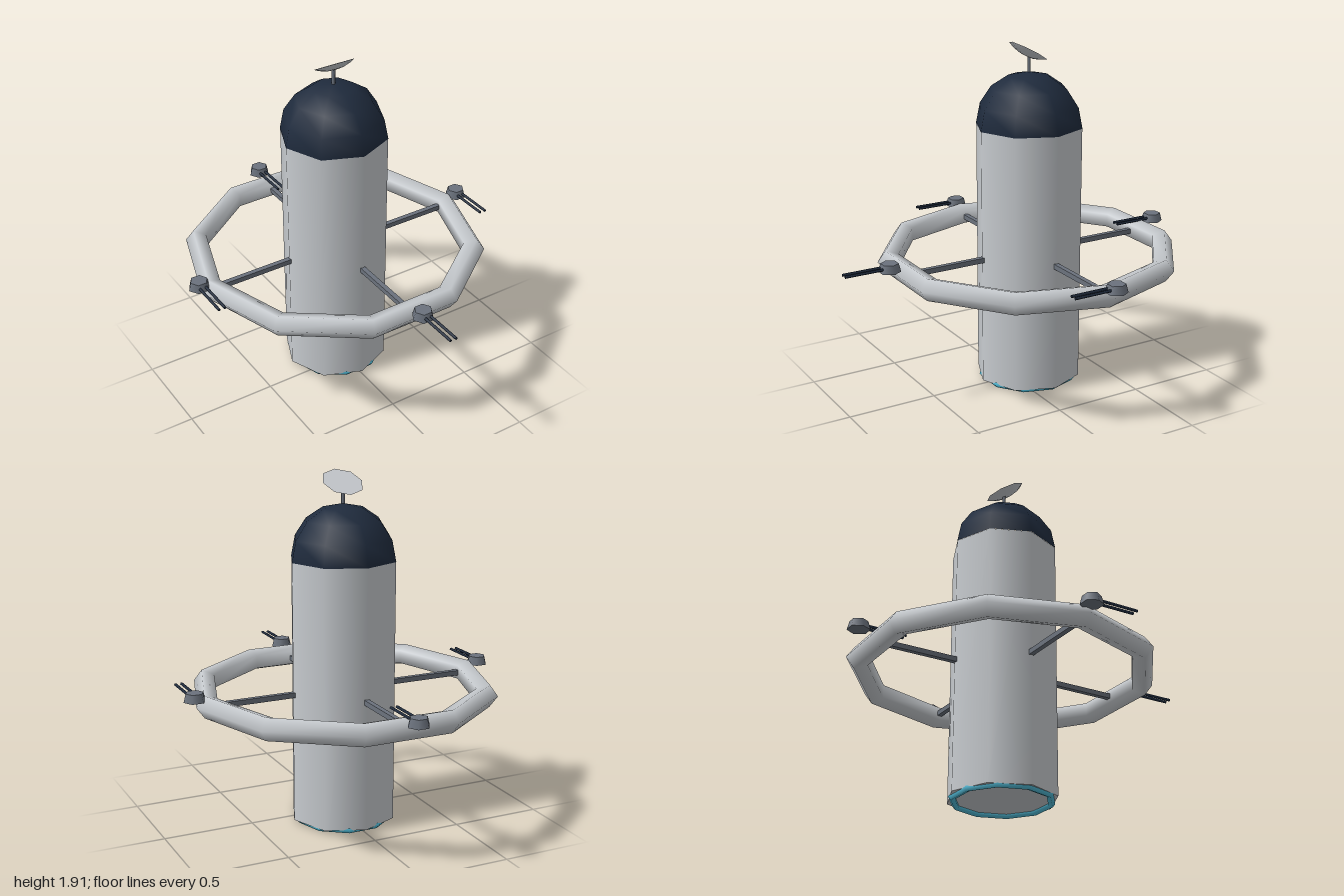
import * as THREE from 'three';

const material = (name, color) => {
  const m = new THREE.MeshStandardMaterial({ color });
  m.name = name;
  return m;
};

export function createModel() {
  const hull = material('hull grey', 0xc8ccd0);
  const navy = material('dark navy', 0x1f2b3d);
  const steel = material('steel grey', 0x6b727d);
  const glow = material('engine cyan', 0x4fb8d4);

  const station = new THREE.Group();
  station.name = 'station';
  station.position.z = -0.103; // the long barrels shift the axis back

  const add = (parent, name, geometry, mat, x = 0, y = 0, z = 0) => {
    const mesh = new THREE.Mesh(geometry, mat);
    mesh.name = name;
    mesh.position.set(x, y, z);
    parent.add(mesh);
    return mesh;
  };

  // Octagonal tower with a domed roof
  add(station, 'tower', new THREE.CylinderGeometry(0.293, 0.293, 1.43, 8), hull, 0, 0.735, 0);
  add(station, 'dome',
    new THREE.SphereGeometry(0.294, 8, 4, 0, Math.PI * 2, 0, Math.PI / 2), navy, 0, 1.45, 0);

  // Glowing ring under the tower, and the wide ring around it
  add(station, 'engineRing', new THREE.TorusGeometry(0.26, 0.02, 5, 10).rotateX(Math.PI / 2), glow, 0, 0.02, 0);
  add(station, 'outerRing', new THREE.TorusGeometry(0.773, 0.064, 5, 10).rotateX(Math.PI / 2), hull, 0, 0.736, 0);

  // Four spokes, each with a twin-barrel turret beyond its end; all barrels face forward
  const spokeGeometry = new THREE.BoxGeometry(0.48, 0.028, 0.028);
  const baseGeometry = new THREE.CylinderGeometry(0.048, 0.06, 0.046, 6).rotateY(Math.PI / 2);
  const barrelGeometry = new THREE.CylinderGeometry(0.008, 0.008, 0.25, 5).rotateX(Math.PI / 2);
  for (let i = 0; i < 4; i++) {
    const angle = i * Math.PI / 2;
    const dx = Math.cos(angle), dz = Math.sin(angle);
    const spoke = add(station, 'spoke', spokeGeometry, steel, dx * 0.51, 0.736, dz * 0.51);
    spoke.rotation.y = -angle;

    const turret = new THREE.Group();
    turret.name = 'turret';
    turret.position.set(dx * 0.845, 0.797, dz * 0.845);
    add(turret, 'turretBase', baseGeometry, steel);
    for (const side of [-1, 1]) {
      add(turret, 'barrel', barrelGeometry, navy, side * 0.017, 0, 0.133);
    }
    station.add(turret);
  }

  // Mast and tilted dish
  add(station, 'mast', new THREE.CylinderGeometry(0.01, 0.01, 0.12, 6), steel, 0, 1.77, 0);
  const dish = new THREE.Group();
  dish.name = 'dish';
  dish.position.set(0, 1.855, 0.005);
  dish.rotation.x = -Math.PI / 6;
  const bowl = [[0, -0.03], [0.045, -0.026], [0.085, -0.014], [0.113, 0]]
    .map(([r, y]) => new THREE.Vector2(r, y));
  add(dish, 'dishBowl', new THREE.LatheGeometry(bowl, 8), hull);
  add(dish, 'dishFace', new THREE.CircleGeometry(0.113, 8).rotateX(-Math.PI / 2), hull);
  station.add(dish);

  const model = new THREE.Group();
  model.name = 'model';
  model.add(station);
  return model;
}
